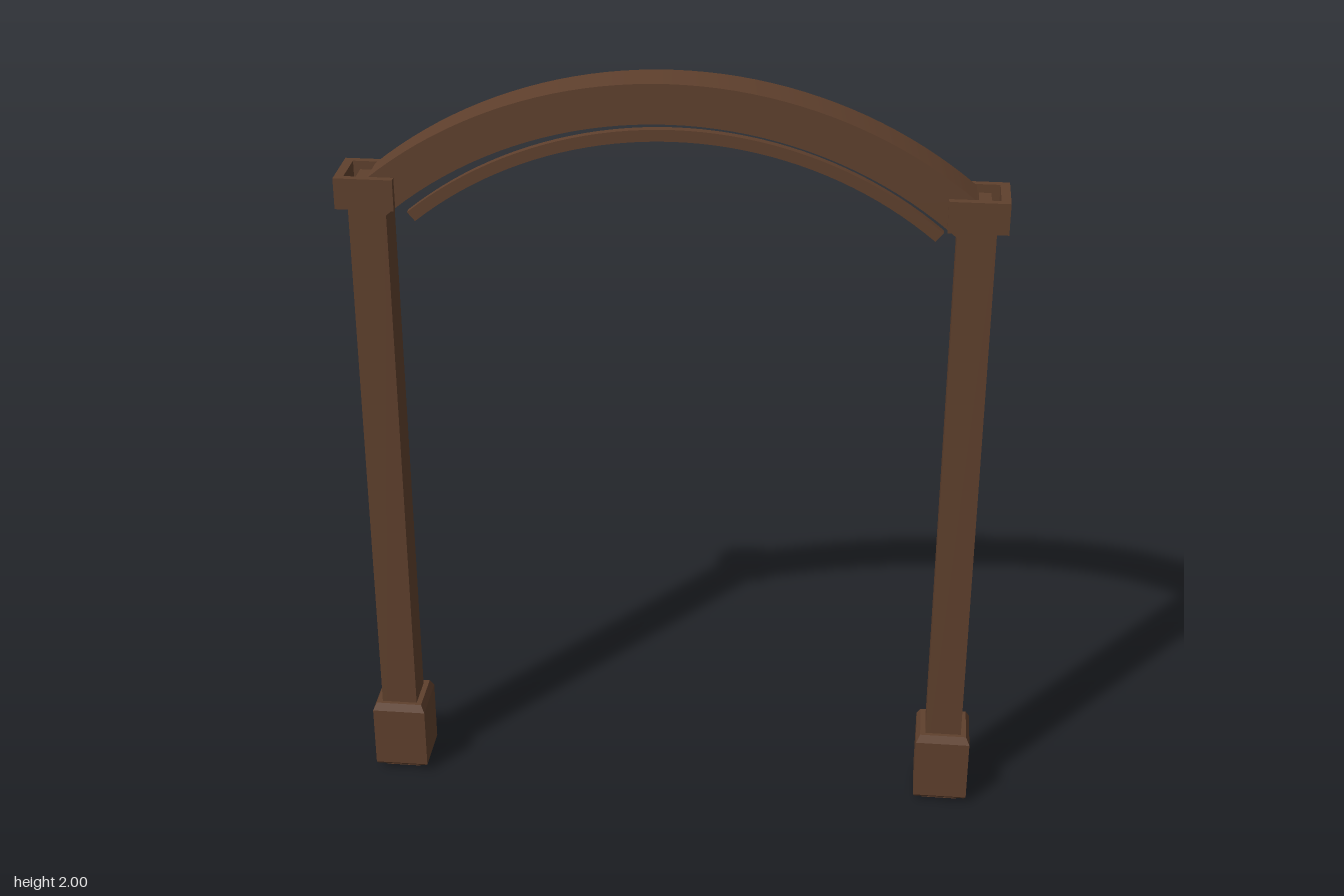
import * as THREE from 'three';
import { toCreasedNormals } from 'three/addons/utils/BufferGeometryUtils.js';

export function createModel() {
  const model = new THREE.Group();
  model.name = 'archway';
  const wood = new THREE.MeshStandardMaterial({ color: 0x5f402d });
  wood.name = 'brown wood';

  const add = (parent, name, geometry, x = 0, y = 0, z = 0) => {
    const mesh = new THREE.Mesh(geometry, wood);
    mesh.name = name;
    mesh.position.set(x, y, z);
    parent.add(mesh);
    return mesh;
  };

  // Square turned block from [half width, height] pairs
  const squareBlock = (profile) => {
    const points = profile.map(([h, y]) => new THREE.Vector2(h * Math.SQRT2, y));
    return toCreasedNormals(new THREE.LatheGeometry(points, 4, Math.PI / 4), 0.1);
  };

  // Curved beam between two concentric arcs; half angles may differ to tilt the end cuts
  const curvedBeam = (centreY, outerR, outerA, innerR, innerA, depth) => {
    const shape = new THREE.Shape();
    const n = 40;
    for (let i = 0; i <= n; i++) {
      const a = outerA * (1 - 2 * i / n);
      const x = outerR * Math.sin(a), y = centreY + outerR * Math.cos(a);
      if (i) shape.lineTo(x, y); else shape.moveTo(x, y);
    }
    for (let i = 0; i <= n; i++) {
      const a = innerA * (2 * i / n - 1);
      shape.lineTo(innerR * Math.sin(a), centreY + innerR * Math.cos(a));
    }
    shape.closePath();
    return toCreasedNormals(new THREE.ExtrudeGeometry(shape, { depth, bevelEnabled: false }), 0.5);
  };

  // Main arch and the thin rail behind and below it
  add(model, 'archBeam', curvedBeam(0.845, 1.155, 0.69, 1.055, 0.725, 0.105), 0, 0, -0.053);
  add(model, 'thinRail', curvedBeam(0.814, 1.036, 0.694, 1.006, 0.694, 0.02), 0, 0, -0.069);

  // Hollow collar around the post top
  const collarShape = new THREE.Shape();
  const square = (path, hx, hz) => path.moveTo(-hx, -hz).lineTo(hx, -hz).lineTo(hx, hz).lineTo(-hx, hz).closePath();
  square(collarShape, 0.073, 0.07);
  const hole = new THREE.Path();
  square(hole, 0.05, 0.052);
  collarShape.holes.push(hole);
  const collar = new THREE.ExtrudeGeometry(collarShape, { depth: 0.08, bevelEnabled: false });
  collar.rotateX(-Math.PI / 2);

  for (const side of [1, -1]) {
    const post = new THREE.Group();
    post.name = side > 0 ? 'leftPost' : 'rightPost';
    post.position.x = side * 0.739;
    model.add(post);

    add(post, 'shaft', new THREE.BoxGeometry(0.094, 1.69, 0.096), 0, 0.845, 0.003);
    add(post, 'tenon', new THREE.BoxGeometry(0.03, 0.05, 0.07), side * 0.016, 1.7, 0);
    add(post, 'collar', collar, side * 0.002, 1.66);
    add(post, 'collarFloor', new THREE.BoxGeometry(0.11, 0.012, 0.11), side * 0.002, 1.668);

    // Chamfered foot block
    add(post, 'footBlock', squareBlock([
      [0, 0.014], [0.067, 0.014], [0.071, 0.02], [0.071, 0.19], [0.061, 0.21], [0, 0.21],
    ]));

    // Small peg on the back of the collar
    const peg = add(post, 'peg', new THREE.CylinderGeometry(0.006, 0.006, 0.02, 8), 0, 1.7, -0.067);
    peg.rotation.x = Math.PI / 2;
  }
  return model;
}
